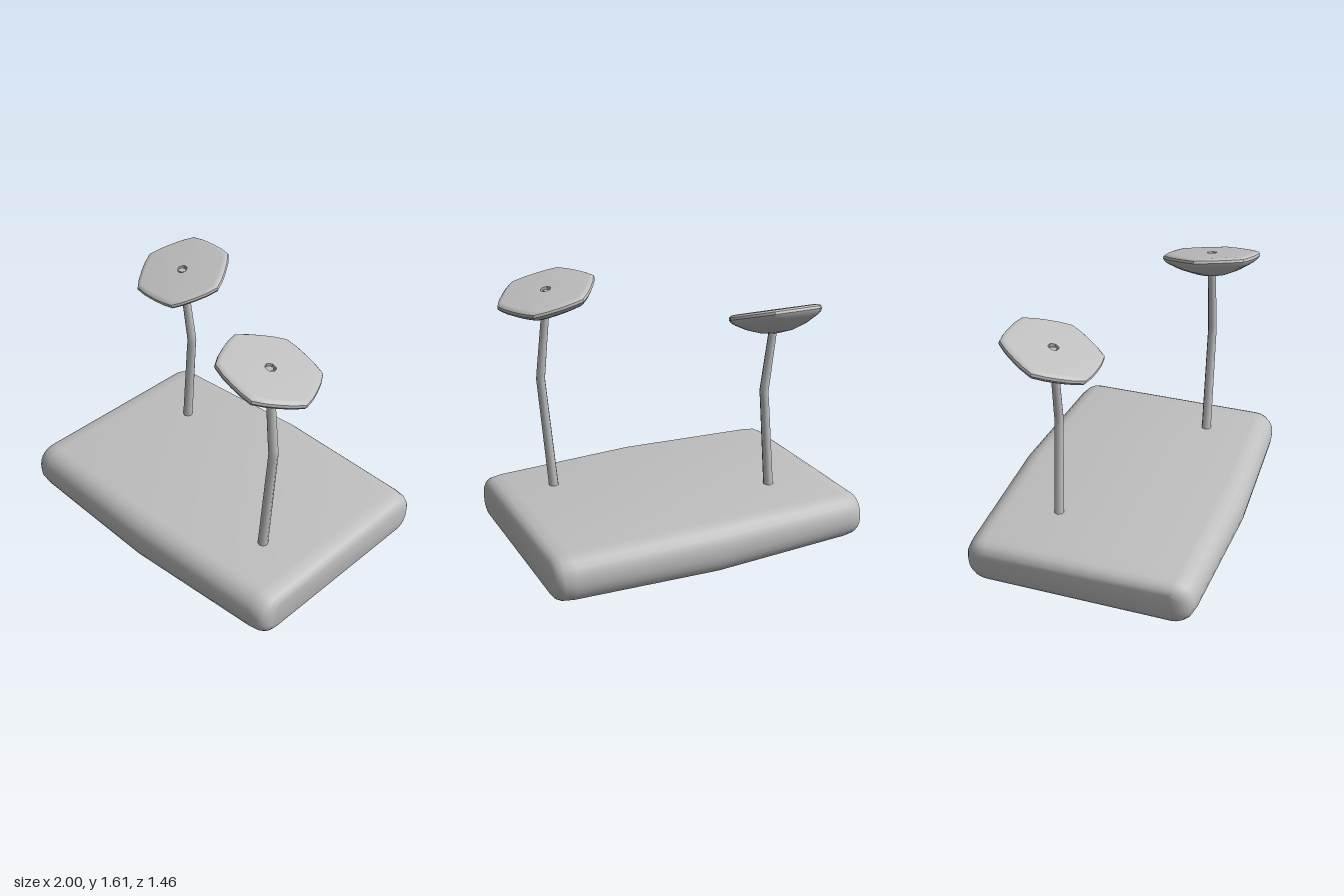
import * as THREE from 'three';
import { toCreasedNormals } from 'three/addons/utils/BufferGeometryUtils.js';

const grey = new THREE.MeshStandardMaterial({ color: 0xbfbfbf });
grey.name = 'plain grey';

// Closed skin over a row of rings, each running anticlockwise about the path
function loft(rings, crease) {
  const n = rings[0].length;
  const pos = rings.flat().flatMap(p => p.toArray());
  const idx = [];
  for (let i = 0; i < rings.length - 1; i++) {
    for (let j = 0; j < n; j++) {
      const k = (j + 1) % n;
      const a = i * n + j, b = i * n + k;
      idx.push(a, b, b + n, a, b + n, a + n);
    }
  }
  const last = (rings.length - 1) * n;
  for (let j = 1; j < n - 1; j++) {
    idx.push(0, j + 1, j, last, last + j, last + j + 1);
  }
  const geo = new THREE.BufferGeometry();
  geo.setAttribute('position', new THREE.Float32BufferAttribute(pos, 3));
  geo.setIndex(idx);
  return toCreasedNormals(geo, crease);
}

// Rounded rectangle across the x axis
function slabRing(x, hz, hy, r) {
  const ring = [];
  const steps = 5;
  for (let q = 0; q < 4; q++) {
    const cy = (q === 0 || q === 3 ? 1 : -1) * (hy - r);
    const cz = (q < 2 ? 1 : -1) * (hz - r);
    for (let s = 0; s <= steps; s++) {
      const a = (q + s / steps) * Math.PI / 2;
      ring.push(new THREE.Vector3(x, 0.155 + cy + r * Math.cos(a), cz + r * Math.sin(a)));
    }
  }
  return ring;
}

// Cushion-like slab: widest and thickest in the middle, rounded ends
function makeBase() {
  const half = [[0, 0.73, 0.155, 0.135], [0.88, 0.694, 0.14, 0.125], [0.945, 0.685, 0.133, 0.12],
    [0.975, 0.667, 0.118, 0.105], [0.992, 0.64, 0.096, 0.085], [1, 0.61, 0.07, 0.06]];
  const all = [...half.slice(1).reverse().map(([x, ...s]) => [-x, ...s]), ...half];
  return loft(all.map(s => slabRing(...s)), 0.6);
}

// Tapered bent stalk through points [x, y, z, radius]
function makeStem(points) {
  const rings = points.map(([x, y, z, r]) => Array.from({ length: 8 }, (_, j) => {
    const a = j * Math.PI / 4;
    return new THREE.Vector3(x + r * Math.sin(a), y, z + r * Math.cos(a));
  }));
  return loft(rings, 0.9);
}

// Six-cornered dish: flat top with a small centre hole, rounded rim, domed underside
function makeDish() {
  const profile = [[0.001, -0.14], [0.1, -0.13], [0.19, -0.1], [0.265, -0.062], [0.288, -0.045],
    [0.3, -0.027], [0.296, -0.012], [0.282, -0.002], [0.265, 0], [0.032, 0], [0.03, -0.03]]
    .map(p => new THREE.Vector2(...p));
  const geo = new THREE.LatheGeometry(profile, 24);
  const p = geo.attributes.position;
  // Pull the sides in between corners, leaving them slightly bowed
  for (let i = 0; i < p.count; i++) {
    const k = 1 - 0.085 * Math.abs(Math.sin(3 * Math.atan2(p.getZ(i), p.getX(i))));
    p.setX(i, p.getX(i) * k);
    p.setZ(i, p.getZ(i) * k);
  }
  return toCreasedNormals(geo, 0.55);
}

export function createModel() {
  const model = new THREE.Group();
  const add = (name, geo, parent = model) => {
    const mesh = new THREE.Mesh(geo, grey);
    mesh.name = name;
    parent.add(mesh);
    return mesh;
  };

  add('base', makeBase());

  const stands = [
    { name: 'rightStand', centre: [-0.57, 1.41, -0.255], normal: [0, 0.951, 0.309], turn: 0,
      stem: [[-0.56, 0.27, -0.265, 0.031], [-0.512, 0.87, -0.265, 0.028],
        [-0.507, 0.91, -0.265, 0.028], [-0.512, 0.95, -0.265, 0.028], [-0.575, 1.4, -0.258, 0.024]] },
    { name: 'leftStand', centre: [0.65, 1.545, 0.29], normal: [0.25, 1, -0.11], turn: -0.098,
      stem: [[0.64, 0.27, 0.3, 0.031], [0.696, 0.96, 0.3, 0.028],
        [0.699, 1, 0.3, 0.028], [0.695, 1.04, 0.3, 0.028], [0.642, 1.535, 0.292, 0.024]] },
  ];
  for (const s of stands) {
    const stand = new THREE.Group();
    stand.name = s.name;
    model.add(stand);
    add('stem', makeStem(s.stem), stand);
    const dish = add('dish', makeDish(), stand);
    const up = new THREE.Vector3(0, 1, 0);
    dish.position.set(...s.centre);
    dish.quaternion.setFromUnitVectors(up, new THREE.Vector3(...s.normal).normalize());
    dish.rotateY(s.turn);
  }
  return model;
}
